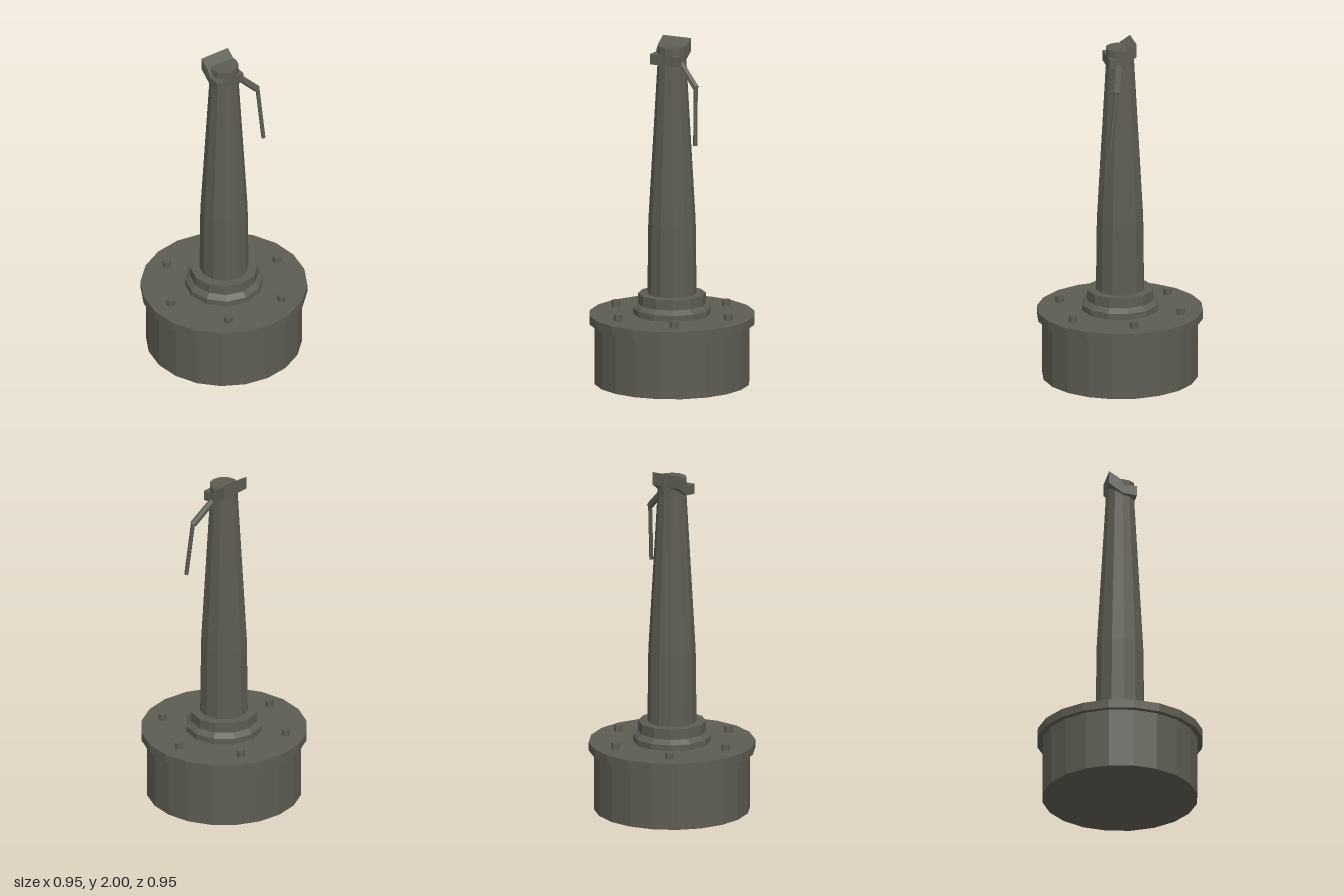
import * as THREE from 'three';

const metal = new THREE.MeshStandardMaterial({ color: 0x5e5d53, flatShading: true });
metal.name = 'dull olive metal';

export function createModel() {
  const model = new THREE.Group();
  model.name = 'pillar';

  const add = (name, geometry) => {
    const mesh = new THREE.Mesh(geometry, metal);
    mesh.name = name;
    model.add(mesh);
    return mesh;
  };
  // Faceted turned part from [radius, height] pairs, bottom to top
  const turned = (name, sides, points) =>
    add(name, new THREE.LatheGeometry(points.map(([r, y]) => new THREE.Vector2(r, y)), sides));
  // Straight bar between two points
  const bar = (name, from, to, radius, sides) => {
    const a = new THREE.Vector3(...from), b = new THREE.Vector3(...to);
    const mesh = add(name, new THREE.CylinderGeometry(radius, radius, a.distanceTo(b), sides));
    mesh.position.copy(a).add(b).multiplyScalar(0.5);
    mesh.quaternion.setFromUnitVectors(new THREE.Vector3(0, 1, 0), b.sub(a).normalize());
  };

  // Drum base with overhanging lid
  turned('base', 20, [[0, 0], [0.445, 0], [0.445, 0.35]]);
  turned('flange', 20, [[0, 0.35], [0.475, 0.35], [0.475, 0.4], [0, 0.4]]);

  // Ring of six hexagonal bolts
  for (let i = 0; i < 6; i++) {
    const angle = i * Math.PI / 3;
    const bolt = add('bolt', new THREE.CylinderGeometry(0.025, 0.025, 0.05, 6));
    bolt.position.set(0.363 * Math.cos(angle), 0.412, 0.363 * Math.sin(angle));
  }

  // Stepped collar and tapering column
  turned('collar', 12, [[0.222, 0.4], [0.222, 0.435], [0.193, 0.46], [0.193, 0.52], [0, 0.52]]);
  turned('column', 12, [[0.14, 0.52], [0.135, 0.94], [0.083, 1.86], [0.083, 1.965], [0, 1.965]]);

  // Slanted head plate: raised at the back, low and level at the front
  const profile = new THREE.Shape([
    [-0.08, 1.86], [-0.08, 1.92], [-0.01, 1.92], [0.025, 1.965],
    [0.08, 2.0], [0.08, 1.925], [0, 1.87],
  ].map(([u, y]) => new THREE.Vector2(u, y)));
  const head = add('headPlate', new THREE.ExtrudeGeometry(profile, { depth: 0.18, bevelEnabled: false }));
  head.rotation.y = Math.PI / 2; // profile u becomes -z, depth becomes +x
  head.position.x = -0.1;

  // Hanging crank handle on the left side
  bar('handleArm', [0.06, 1.88, 0.02], [0.187, 1.75, 0.062], 0.02, 6);
  bar('handleRod', [0.187, 1.76, 0.062], [0.203, 1.42, 0.1], 0.012, 6);

  return model;
}
